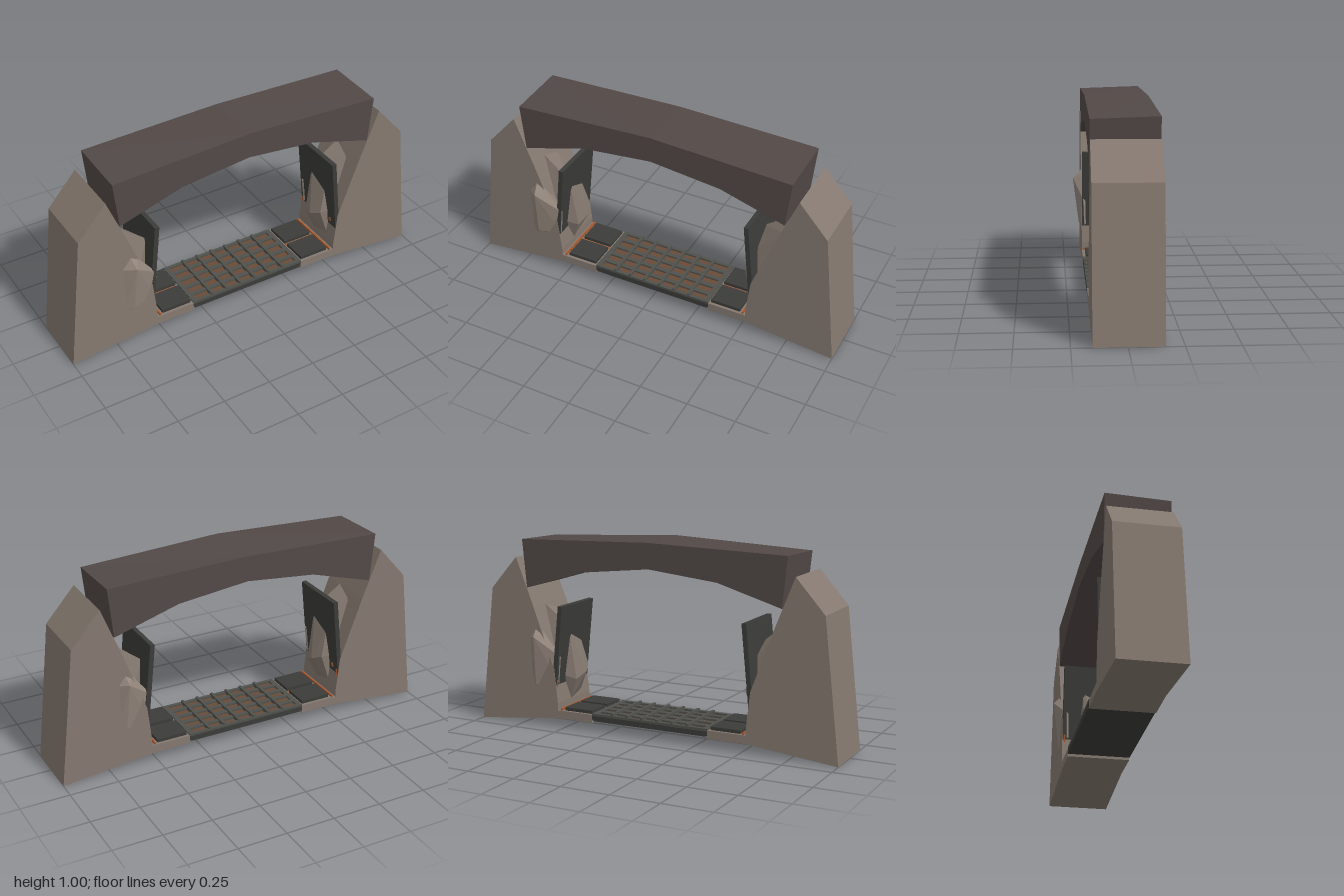
import * as THREE from 'three';
import { ConvexGeometry } from 'three/addons/geometries/ConvexGeometry.js';

const FRONT = 0.155, BACK = -0.165, DEPTH = FRONT - BACK, MID = (FRONT + BACK) / 2;

const mat = (color) => new THREE.MeshStandardMaterial({ color, flatShading: true });
const stone = mat(0x857970), rockStone = mat(0x93867c), beamStone = mat(0x524947);
const metal = mat(0x50514c), darkMetal = mat(0x3b3c39), glow = mat(0xa8562c), floorBrown = mat(0x6a4a38);

function add(parent, name, geometry, material) {
  const mesh = new THREE.Mesh(geometry, material);
  mesh.name = name;
  parent.add(mesh);
  return mesh;
}

// Box given by its limits on each axis
function box(parent, name, [x0, x1], [y0, y1], [z0, z1], material) {
  const mesh = add(parent, name, new THREE.BoxGeometry(x1 - x0, y1 - y0, z1 - z0), material);
  mesh.position.set((x0 + x1) / 2, (y0 + y1) / 2, (z0 + z1) / 2);
  return mesh;
}

// Profile in x and y, extruded over the full depth
function slab(points) {
  const shape = new THREE.Shape(points.map(([x, y]) => new THREE.Vector2(x, y)));
  const geometry = new THREE.ExtrudeGeometry(shape, { depth: DEPTH, bevelEnabled: false });
  return geometry.translate(0, 0, BACK);
}

const rock = (points) => new ConvexGeometry(points.map((p) => new THREE.Vector3(...p)));

// Rocks growing out of the pillar on the -x side
function makeRocks() {
  const group = new THREE.Group();
  group.name = 'rocks';
  add(group, 'frontRock', rock([
    [-0.71, 0.46, 0.15], [-0.66, 0.52, 0.155], [-0.65, 0.475, 0.2], [-0.62, 0.5, 0.15],
    [-0.52, 0.37, 0.145], [-0.535, 0.23, 0.14], [-0.66, 0.22, 0.168], [-0.68, 0.2, 0.155],
    [-0.7, 0.23, 0.15], [-0.6, 0.35, 0.02],
  ]), rockStone);
  add(group, 'innerRock', rock([
    [-0.67, 0.63, 0.05], [-0.67, 0.6, -0.06], [-0.525, 0.52, 0.06], [-0.53, 0.46, -0.06],
    [-0.465, 0.27, -0.02], [-0.485, 0.24, 0.05], [-0.49, 0.3, -0.08], [-0.53, 0.13, 0.03],
    [-0.54, 0.15, -0.08], [-0.64, 0.3, 0.13], [-0.66, 0.3, -0.1],
  ]), stone);
  return group;
}

// Leaning panel with a small glowing stud and edge strip
function makePanel(side) {
  const group = new THREE.Group();
  group.name = side < 0 ? 'rightPanel' : 'leftPanel';
  add(group, 'panelPlate', new THREE.BoxGeometry(0.024, 0.54, DEPTH - 0.005), darkMetal);
  const strip = add(group, 'panelStrip', new THREE.BoxGeometry(0.004, 0.1, 0.008), glow);
  strip.position.set(-side * 0.013, -0.17, BACK - MID + 0.012);
  const stud = add(group, 'panelStud', new THREE.BoxGeometry(0.006, 0.02, 0.014), glow);
  stud.position.set(-side * 0.013, -0.11, side * 0.11);
  group.rotation.z = side * 0.1;
  group.position.set(side * 0.538, 0.37, MID);
  return group;
}

function makeDeck() {
  const deck = new THREE.Group();
  deck.name = 'deck';

  // Central grating: rounded frame, sunken floor and crossing bars
  const profile = new THREE.Shape([
    [-0.325, 0.068], [-0.315, 0.06], [0.315, 0.06], [0.325, 0.068], [0.325, 0.088], [-0.325, 0.088],
  ].map(([x, y]) => new THREE.Vector2(x, y)));
  const base = new THREE.ExtrudeGeometry(profile, { depth: DEPTH, bevelEnabled: false });
  add(deck, 'centreBase', base.translate(0, 0, BACK), darkMetal);
  box(deck, 'centreFloor', [-0.31, 0.31], [0.086, 0.09], [BACK + 0.015, FRONT - 0.015], floorBrown);
  for (const z of [BACK, FRONT - 0.018])
    box(deck, 'centreRim', [-0.32, 0.32], [0.086, 0.1], [z, z + 0.018], metal);
  for (const x of [-0.325, 0.3])
    box(deck, 'endRim', [x, x + 0.025], [0.086, 0.1], [BACK, FRONT], metal);
  for (let i = 1; i < 5; i++) {
    const z = BACK + (DEPTH * i) / 5;
    box(deck, 'longBar', [-0.31, 0.31], [0.086, 0.1], [z - 0.012, z + 0.012], metal);
  }
  for (let i = 0; i < 6; i++) {
    const x = -0.2125 + i * 0.085;
    box(deck, 'crossBar', [x - 0.007, x + 0.007], [0.086, 0.11], [BACK + 0.003, FRONT - 0.003], metal);
  }

  // End plates with two raised tiles and glowing edging
  for (const side of [-1, 1]) {
    const span = (a, b) => (side < 0 ? [-b, -a] : [a, b]);
    box(deck, 'endBlock', span(0.325, 0.56), [0.05, 0.093], [BACK, FRONT], stone);
    box(deck, 'edgeGlow', span(0.508, 0.516), [0.09, 0.104], [BACK + 0.005, FRONT - 0.005], glow);
    box(deck, 'seamGlow', span(0.335, 0.508), [0.09, 0.097], [MID - 0.006, MID + 0.006], glow);
    for (const z of [BACK + 0.015, MID + 0.012]) {
      box(deck, 'tile', span(0.335, 0.495), [0.092, 0.11], [z, z + 0.133], darkMetal);
    }
  }
  return deck;
}

export function createModel() {
  const model = new THREE.Group();
  model.name = 'gateway';

  // Pillars
  const pillar = [[1, 0], [0.92, 0.71], [0.77, 0.88], [0.67, 0.63], [0.55, 0.31], [0.53, 0.13], [0.53, 0.05]];
  add(model, 'leftPillar', slab(pillar), stone);
  add(model, 'rightPillar', slab(pillar.map(([x, y]) => [-x, y])), stone);

  // Arched lintel, its top ends slightly lower at the front and its ridge lower at the back
  const lintel = slab([
    [-0.73, 0.965], [-0.705, 0.725], [-0.37, 0.825], [0, 0.865],
    [0.37, 0.825], [0.705, 0.725], [0.73, 0.965], [0, 1],
  ]);
  const p = lintel.attributes.position;
  for (let i = 0; i < p.count; i++) {
    if (p.getY(i) > 0.9 && p.getZ(i) < 0) p.setY(i, Math.abs(p.getX(i)) > 0.5 ? 0.975 : 0.995);
  }
  lintel.computeVertexNormals();
  add(model, 'lintel', lintel, beamStone);

  // Rocks on one side, turned half round for the other
  const rightRocks = makeRocks();
  const leftRocks = makeRocks();
  leftRocks.rotation.y = Math.PI;
  model.add(rightRocks, leftRocks);

  model.add(makePanel(-1), makePanel(1), makeDeck());
  return model;
}
